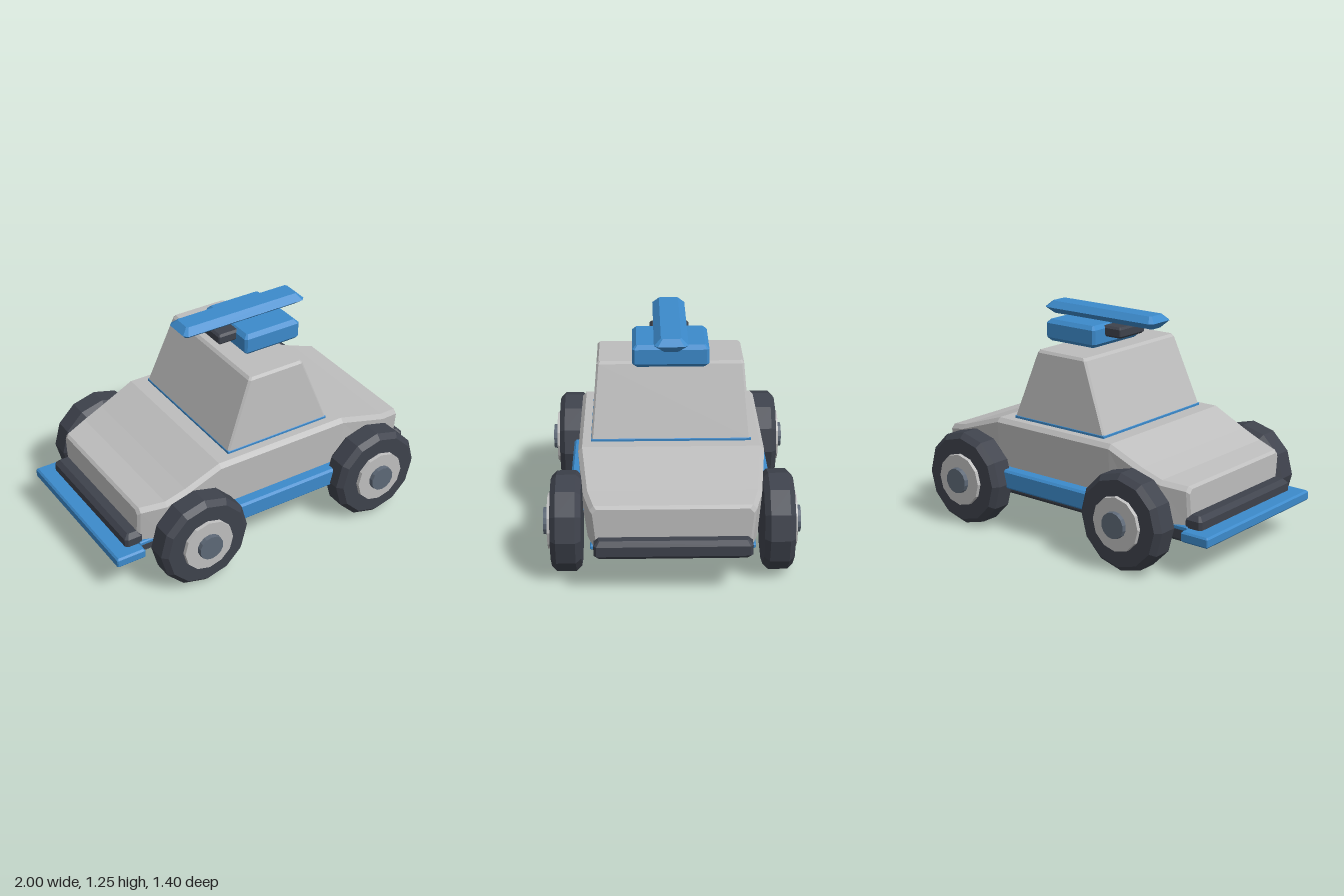
import * as THREE from 'three';
import { ConvexGeometry } from 'three/addons/geometries/ConvexGeometry.js';

const paint = (name, color) => {
  const m = new THREE.MeshStandardMaterial({ color });
  m.name = name;
  return m;
};

// Faceted copy of a geometry
const facet = (g) => {
  const f = g.index ? g.toNonIndexed() : g;
  f.computeVertexNormals();
  return f;
};

// Convex block from horizontal layers [y, x0, x1, half depth, corner cut]
function layered(layers) {
  const pts = [];
  for (const [y, x0, x1, hz, c] of layers) {
    for (const s of [-1, 1]) {
      for (const [x, z] of [[x0, hz - c], [x0 + c, hz], [x1 - c, hz], [x1, hz - c]]) {
        pts.push(new THREE.Vector3(x, y, s * z));
      }
    }
  }
  return new ConvexGeometry(pts);
}

// Box with bevelled edges, symmetric in z
const bevelBox = (x0, x1, y0, y1, hz, b) => layered([
  [y0, x0 + b, x1 - b, hz - b, b * 0.3],
  [y0 + b, x0, x1, hz, b * 0.6],
  [y1 - b, x0, x1, hz, b * 0.6],
  [y1, x0 + b, x1 - b, hz - b, b * 0.3],
]);

// Body shell lofted along x from stations [x, half width, top height]
function bodyShell(stations, bottom) {
  const rings = stations.map(([x, w, top]) => [
    [x, bottom, w - 0.02], [x, bottom, 0.02 - w],
    [x, top - 0.025, -w], [x, top, 0.022 - w],
    [x, top, w - 0.022], [x, top - 0.025, w],
  ]);
  const pos = [];
  const tri = (...p) => p.forEach((v) => pos.push(...v));
  const n = 6;
  for (let i = 0; i < rings.length - 1; i++) {
    for (let j = 0; j < n; j++) {
      const k = (j + 1) % n, p = rings[i], q = rings[i + 1];
      tri(p[j], p[k], q[k]);
      tri(p[j], q[k], q[j]);
    }
  }
  const first = rings[0], last = rings[rings.length - 1];
  for (let j = 1; j < n - 1; j++) {
    tri(last[0], last[j], last[j + 1]);
    tri(first[0], first[j + 1], first[j]);
  }
  const g = new THREE.BufferGeometry();
  g.setAttribute('position', new THREE.Float32BufferAttribute(pos, 3));
  g.computeVertexNormals();
  return g;
}

export function createModel() {
  const model = new THREE.Group();
  model.name = 'car';
  const grey = paint('light grey', 0xbdbdbd);
  const blue = paint('blue', 0x3c8acb);
  const dark = paint('charcoal', 0x3e424c);
  const slate = paint('slate', 0x5d6876);

  const add = (name, geometry, material, parent = model) => {
    const mesh = new THREE.Mesh(geometry, material);
    mesh.name = name;
    parent.add(mesh);
    return mesh;
  };

  // Body and chassis
  add('body', bodyShell([
    [-0.83, 0.42, 0.465], [-0.815, 0.435, 0.48], [-0.68, 0.485, 0.5], [-0.56, 0.498, 0.545],
    [-0.35, 0.51, 0.64], [0.47, 0.51, 0.64], [0.79, 0.475, 0.53],
    [0.915, 0.44, 0.502], [0.93, 0.425, 0.485],
  ], 0.26), grey);
  add('underPlate', bevelBox(-0.83, 0.9, 0.235, 0.262, 0.44, 0.006), blue);
  add('chassis', bevelBox(-0.83, 0.85, 0.15, 0.25, 0.405, 0.02), dark);

  // Bumpers and low splitter
  add('frontBumper', bevelBox(-0.91, -0.8, 0.225, 0.325, 0.43, 0.025), dark);
  add('rearBumper', bevelBox(0.9, 1.0, 0.22, 0.325, 0.42, 0.025), dark);
  add('splitter', bevelBox(-1.0, -0.825, 0.195, 0.255, 0.495, 0.01), blue);

  // Cabin on its trim strip
  add('cabinTrim', bevelBox(-0.262, 0.395, 0.635, 0.656, 0.442, 0.004), blue);
  add('cabin', layered([
    [0.655, -0.26, 0.393, 0.44, 0.01],
    [1.04, -0.105, 0.25, 0.408, 0.012],
    [1.055, -0.09, 0.24, 0.396, 0.01],
  ]), grey);

  // Roof unit with nozzle and blade
  add('roofBox', bevelBox(0, 0.36, 1.057, 1.183, 0.21, 0.022), blue);
  add('roofNozzle', bevelBox(-0.11, 0.03, 1.112, 1.175, 0.11, 0.012), dark);
  add('roofBlade', layered([
    [1.18, -0.28, 0.445, 0.042, 0.01],
    [1.22, -0.315, 0.48, 0.093, 0.022],
    [1.255, -0.28, 0.445, 0.055, 0.01],
  ]), blue);

  // Side sills
  for (const s of [-1, 1]) {
    const sill = add(s > 0 ? 'frontSill' : 'backSill', bevelBox(-0.38, 0.48, 0.25, 0.36, 0.045, 0.012), blue);
    sill.position.z = s * 0.52;
  }

  // Wheels: twelve-sided tyre, hub disc and cap, axis along z
  const profile = [[0, 0.49], [0.245, 0.49], [0.275, 0.52], [0.275, 0.625], [0.245, 0.655], [0, 0.655]]
    .map(([r, y]) => new THREE.Vector2(r, y));
  const tyre = facet(new THREE.LatheGeometry(profile, 12).rotateX(Math.PI / 2));
  const disc = (r, z0, z1, sides) => facet(new THREE.CylinderGeometry(r - 0.004, r, z1 - z0, sides)
    .rotateX(Math.PI / 2).translate(0, 0, (z0 + z1) / 2));
  const hub = disc(0.156, 0.64, 0.675, 12);
  const cap = disc(0.077, 0.66, 0.7, 14);
  for (const x of [-0.53, 0.63]) {
    for (const s of [-1, 1]) {
      const wheel = new THREE.Group();
      wheel.name = 'wheel';
      add('tyre', tyre, dark, wheel);
      add('hub', hub, grey, wheel);
      add('hubCap', cap, slate, wheel);
      wheel.position.set(x, 0.275, 0);
      if (s < 0) wheel.rotation.y = Math.PI;
      model.add(wheel);
    }
  }
  return model;
}
